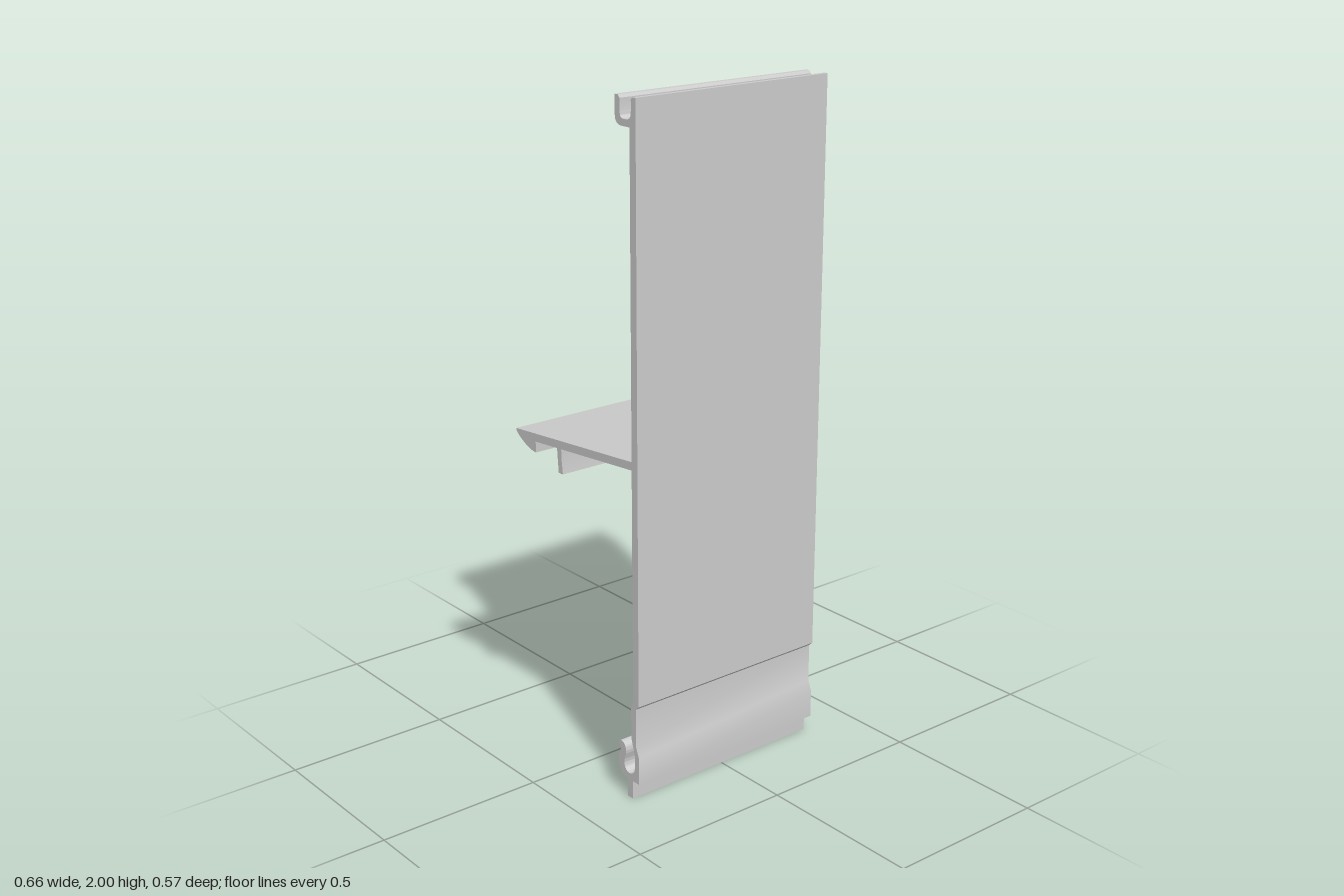
import * as THREE from 'three';
import { toCreasedNormals } from 'three/addons/utils/BufferGeometryUtils.js';

const WIDTH = 0.664;
const material = new THREE.MeshStandardMaterial({ color: 0xcccccc });

// Outline from straight points [u, y]; a nested list of points is a smooth curve.
function outline(steps) {
  const shape = new THREE.Shape();
  shape.moveTo(...steps[0]);
  for (const s of steps.slice(1)) {
    if (Array.isArray(s[0])) shape.splineThru(s.map(([u, y]) => new THREE.Vector2(u, y)));
    else shape.lineTo(...s);
  }
  return shape;
}

// Runs a side profile (u = -z) across the full width along x.
function profilePart(name, steps) {
  const geo = new THREE.ExtrudeGeometry(outline(steps), {
    depth: WIDTH, bevelEnabled: false, curveSegments: 16,
  });
  geo.translate(0, 0, -WIDTH / 2);
  geo.rotateY(Math.PI / 2);
  const mesh = new THREE.Mesh(toCreasedNormals(geo, 0.6), material);
  mesh.name = name;
  return mesh;
}

export function createModel() {
  const group = new THREE.Group();
  group.name = 'extrudedPanel';

  // Upright wall with the set-back strip near the bottom
  group.add(profilePart('wall', [
    [-0.283, 2], [-0.283, 0.3], [-0.27, 0.288], [-0.27, 0.172],
    [-0.283, 0.14], [-0.283, 0.056], [-0.255, 0.056], [-0.262, 0.09],
    [[-0.266, 0.115], [-0.263, 0.145], [-0.249, 0.19]],
    [-0.249, 0.29], [-0.258, 0.31], [-0.258, 1.945],
    [[-0.262, 1.952], [-0.264, 1.965]], [-0.264, 1.994], [-0.27, 2],
  ]));

  // Upward-open channel behind the top edge
  group.add(profilePart('topChannel', [
    [-0.258, 1.922], [-0.222, 1.922],
    [[-0.208, 1.926], [-0.2, 1.935], [-0.197, 1.949]],
    [-0.197, 2], [-0.211, 2], [-0.217, 1.992], [-0.217, 1.962],
    [[-0.219, 1.95], [-0.224, 1.943], [-0.233, 1.941]],
    [-0.25, 1.941], [-0.258, 1.945],
  ]));

  // Sloping shelf with its wedge-shaped nose
  group.add(profilePart('shelf', [
    [-0.258, 1.022], [-0.258, 0.998], [0.187, 0.959], [0.187, 0.926],
    [[0.21, 0.929], [0.24, 0.94], [0.265, 0.954], [0.283, 0.969]],
    [0.283, 0.975],
  ]));

  // Rib hanging under the shelf
  group.add(profilePart('shelfRib', [
    [0.063, 0.971], [0.063, 0.945], [0.057, 0.896], [0.077, 0.896],
    [0.083, 0.968],
  ]));

  // Curled hook behind the bottom edge
  group.add(profilePart('bottomHook', [
    [-0.255, 0.056], [-0.225, 0.056],
    [[-0.208, 0.062], [-0.196, 0.078], [-0.19, 0.1], [-0.193, 0.12], [-0.201, 0.138]],
    [-0.194, 0.152], [-0.194, 0.161], [-0.202, 0.165],
    [[-0.214, 0.162], [-0.222, 0.151], [-0.224, 0.135], [-0.22, 0.12],
      [-0.216, 0.103], [-0.22, 0.086], [-0.232, 0.076], [-0.245, 0.076], [-0.256, 0.082], [-0.262, 0.09]],
  ]));

  // Narrow foot below the hook
  group.add(profilePart('foot', [
    [-0.255, 0.056], [-0.255, 0], [-0.232, 0], [-0.232, 0.056],
  ]));

  return group;
}
